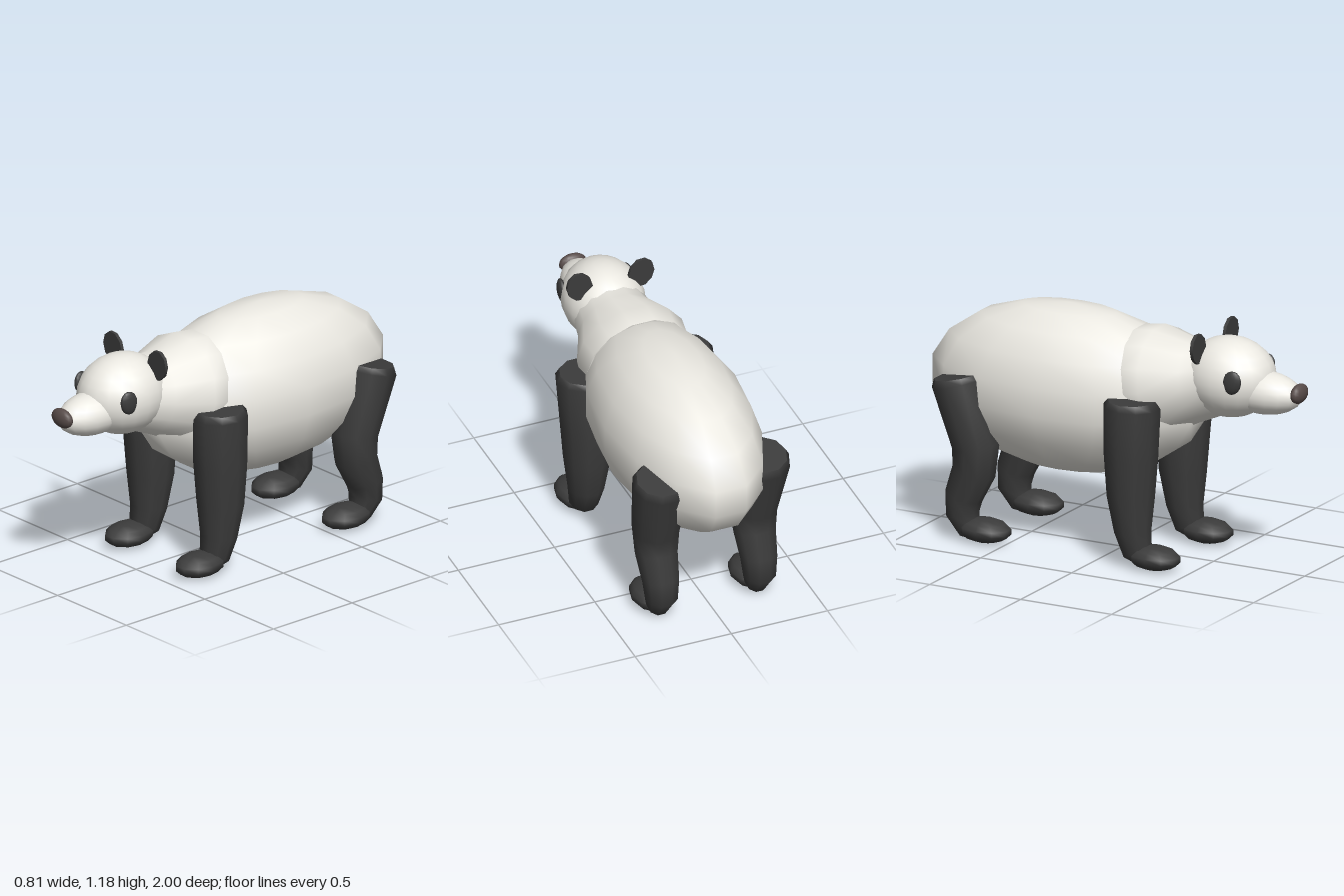
import * as THREE from 'three';

const white = new THREE.MeshStandardMaterial({ color: 0xebe9e2 });
const black = new THREE.MeshStandardMaterial({ color: 0x3b3b3b });
const brown = new THREE.MeshStandardMaterial({ color: 0x574b49 });

// Ellipsoid with given centre and radii
function ellipsoid(name, material, [x, y, z], [rx, ry, rz], w = 14, h = 9) {
  const geometry = new THREE.SphereGeometry(1, w, h).scale(rx, ry, rz);
  const mesh = new THREE.Mesh(geometry, material);
  mesh.name = name;
  mesh.position.set(x, y, z);
  return mesh;
}

// Capped skin over elliptical rings [x, y, z, rx, ry], each square to the path
function loft(name, material, rings, n) {
  const pos = [], index = [];
  rings.forEach(([x, y, z, rx, ry], i) => {
    const a = rings[Math.max(i - 1, 0)], b = rings[Math.min(i + 1, rings.length - 1)];
    const len = Math.hypot(b[1] - a[1], b[2] - a[2]);
    const ty = (b[1] - a[1]) / len, tz = (b[2] - a[2]) / len;
    for (let j = 0; j < n; j++) {
      const t = (j / n) * Math.PI * 2;
      const v = ry * Math.sin(t);
      pos.push(x + rx * Math.cos(t), y + v * tz, z - v * ty);
    }
  });
  for (let i = 0; i < rings.length - 1; i++) {
    for (let j = 0; j < n; j++) {
      const a = i * n + j, b = i * n + (j + 1) % n;
      index.push(a, b, a + n, b, b + n, a + n);
    }
  }
  // End caps with their own vertices, so the rims stay sharp
  for (const end of [0, rings.length - 1]) {
    const start = pos.length / 3;
    pos.push(...pos.slice(end * n * 3, (end + 1) * n * 3), ...rings[end].slice(0, 3));
    for (let j = 0; j < n; j++) {
      const a = start + j, b = start + (j + 1) % n;
      index.push(start + n, ...(end ? [a, b] : [b, a]));
    }
  }
  const geometry = new THREE.BufferGeometry();
  geometry.setAttribute('position', new THREE.Float32BufferAttribute(pos, 3));
  geometry.setIndex(index);
  geometry.computeVertexNormals();
  const mesh = new THREE.Mesh(geometry, material);
  mesh.name = name;
  return mesh;
}

// Leg from a side path [z, y, radius], plus its paw
function leg(name, side, path, pawZ) {
  const group = new THREE.Group();
  group.name = name;
  const rings = path.map(([z, y, r]) => [side * (0.255 + (y > 0.6 ? 0.01 : 0)), y, z, r, r]);
  group.add(loft('limb', black, rings, 10));
  group.add(ellipsoid('paw', black, [side * 0.257, 0.066, pawZ], [0.1, 0.06, 0.138], 10, 7));
  return group;
}

export function createModel() {
  const model = new THREE.Group();
  model.name = 'bear';

  // Trunk and neck
  model.add(ellipsoid('body', white, [0, 0.772, -0.29], [0.365, 0.415, 0.74]));
  model.add(loft('neck', white, [
    [0, 0.86, 0.15, 0.268, 0.275],
    [0, 0.88, 0.24, 0.283, 0.265],
    [0, 0.9, 0.42, 0.2, 0.2],
    [0, 0.94, 0.58, 0.17, 0.17],
  ], 14));

  // Head
  const head = new THREE.Group();
  head.name = 'head';
  head.add(ellipsoid('skull', white, [0, 0.948, 0.59], [0.2, 0.198, 0.235], 20, 14));
  head.add(ellipsoid('muzzle', white, [0, 0.895, 0.77], [0.12, 0.106, 0.21], 18, 12));
  head.add(ellipsoid('nose', brown, [0, 0.916, 0.97], [0.07, 0.048, 0.031], 14, 10));
  model.add(head);

  const frontPath = [
    [0.2, 0.84, 0.12], [0.2, 0.81, 0.14], [0.188, 0.55, 0.133],
    [0.187, 0.35, 0.118], [0.198, 0.18, 0.092], [0.225, 0.08, 0.075], [0.26, 0.045, 0.04],
  ];
  const rearPath = [
    [-0.757, 0.822, 0.12], [-0.75, 0.79, 0.138], [-0.665, 0.48, 0.118],
    [-0.675, 0.35, 0.107], [-0.73, 0.22, 0.093], [-0.737, 0.13, 0.083],
    [-0.7, 0.06, 0.06], [-0.66, 0.045, 0.04],
  ];

  for (const [label, side] of [['left', 1], ['right', -1]]) {
    // Dark eye patches lying on the sides of the head
    const eye = ellipsoid(label + 'EyePatch', black, [side * 0.172, 0.973, 0.695], [0.021, 0.06, 0.048], 12, 9);
    eye.rotation.x = 0.25;
    eye.rotation.y = -side * 0.12;
    head.add(eye);

    // Flat disc ears
    const disc = new THREE.CylinderGeometry(1, 1, 0.016, 10).rotateX(Math.PI / 2).scale(0.066, 0.078, 1);
    const ear = new THREE.Mesh(disc, black);
    ear.name = label + 'Ear';
    ear.position.set(side * 0.16, 1.112, 0.503);
    ear.rotation.z = -side * 0.3;
    head.add(ear);

    model.add(leg(label + 'FrontLeg', side, frontPath, 0.318));
    model.add(leg(label + 'RearLeg', side, rearPath, -0.613));
  }
  return model;
}
